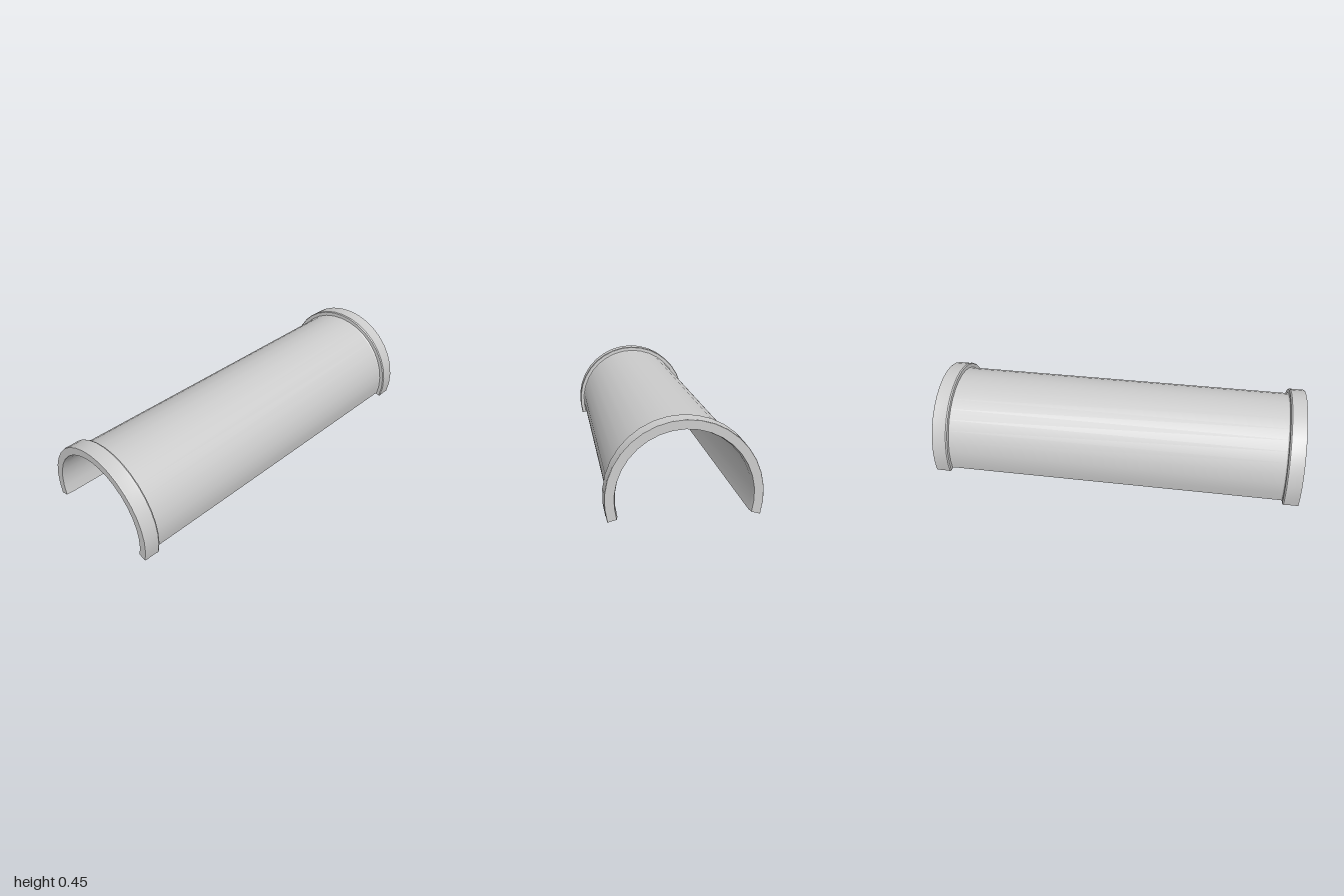
import * as THREE from 'three';
import { toCreasedNormals } from 'three/addons/utils/BufferGeometryUtils.js';

const HALF_ARC = THREE.MathUtils.degToRad(105.4); // the arch runs past the half circle
const SEGMENTS = 20;
const AXIS_Y = 0.0955;

const material = new THREE.MeshStandardMaterial({ color: 0xcccccc, side: THREE.DoubleSide });

// Sweeps a closed (radius, x) profile round the long axis and caps both cut edges.
function arch(name, profile) {
  const part = new THREE.Group();
  part.name = name;
  const points = profile.map(([r, x]) => new THREE.Vector2(r, x));
  const start = -Math.PI / 2 - HALF_ARC;

  const sweep = new THREE.LatheGeometry([...points, points[0].clone()], SEGMENTS, start, 2 * HALF_ARC);
  const shell = new THREE.Mesh(toCreasedNormals(sweep.rotateZ(-Math.PI / 2), 0.45), material);
  shell.name = name + 'Shell';
  part.add(shell);

  for (const phi of [start, start + 2 * HALF_ARC]) {
    const cap = new THREE.ShapeGeometry(new THREE.Shape(points));
    cap.rotateY(phi - Math.PI / 2).rotateZ(-Math.PI / 2);
    const edge = new THREE.Mesh(cap, material);
    edge.name = name + 'CutEdge';
    part.add(edge);
  }
  part.position.y = AXIS_Y;
  return part;
}

export function createModel() {
  const group = new THREE.Group();
  group.name = 'halfPipeCover';

  // Long channel, its bore slightly flared at both mouths
  group.add(arch('channel', [
    [0.328, -1], [0.328, 1], [0.311, 1], [0.305, 0.97], [0.305, -0.97], [0.311, -1],
  ]));

  // Raised collars with softened rims; the mirrored profile is reversed to face outward
  const collar = [
    [0.328, 0.908], [0.332, 0.914], [0.352, 0.915], [0.356, 0.922],
    [0.354, 0.935], [0.354, 0.996], [0.352, 1], [0.328, 1],
  ];
  group.add(arch('leftCollar', collar));
  group.add(arch('rightCollar', collar.map(([r, x]) => [r, -x]).reverse()));
  return group;
}
